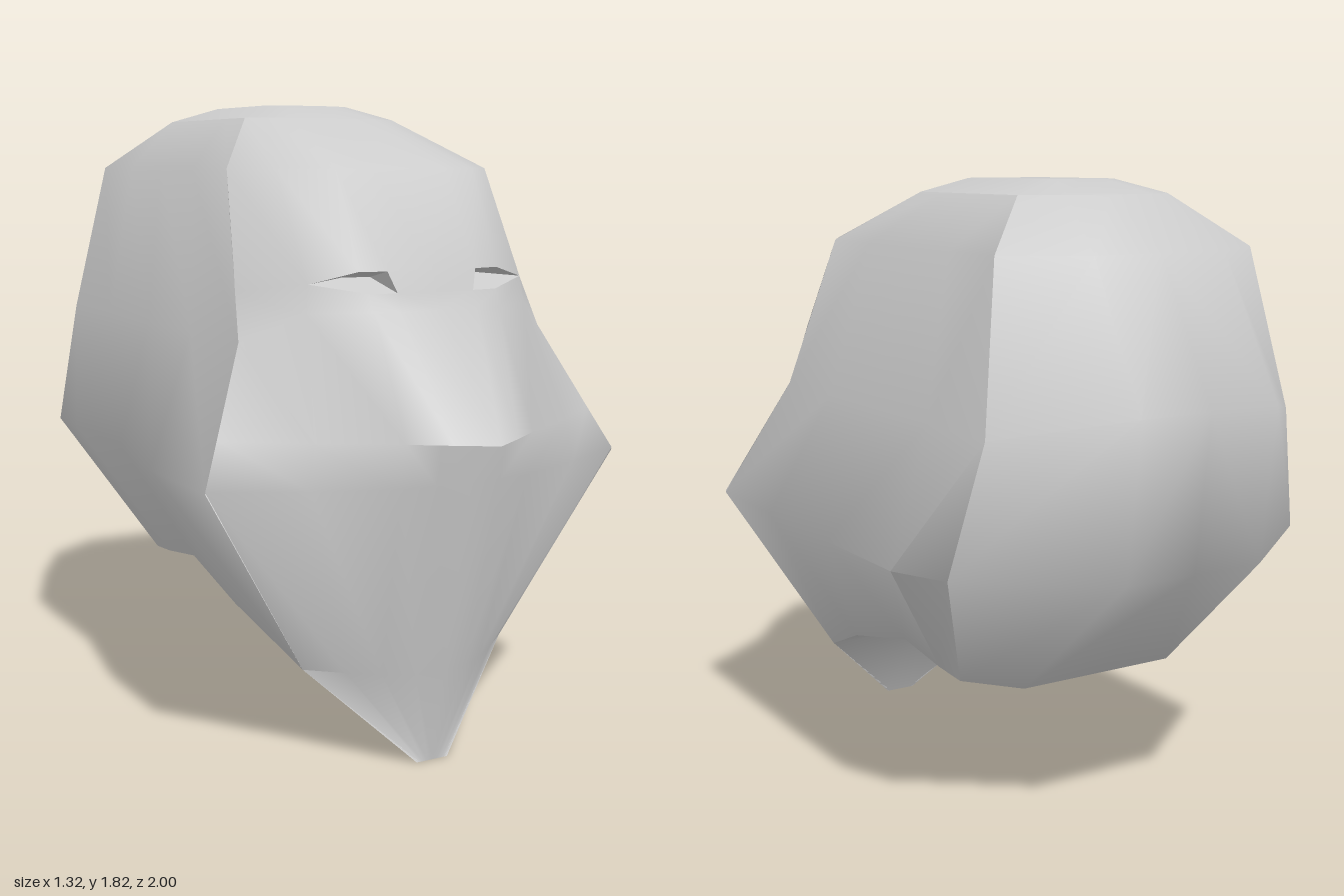
import * as THREE from 'three';
import { toCreasedNormals } from 'three/addons/utils/BufferGeometryUtils.js';

const material = new THREE.MeshStandardMaterial({ color: 0xcccccc, side: THREE.DoubleSide });

// Skins a grid of points on the +x half and its counterpart on the -x half.
// rowsOf(side) returns rows of [x, y, z]; skip(row, col) leaves openings.
function skin(name, rowsOf, skip = () => false) {
  const pos = [];
  const A = new THREE.Vector3(), B = new THREE.Vector3(), C = new THREE.Vector3();
  const tri = (s, a, b, c) => {
    A.set(...a); B.set(...b); C.set(...c);
    if (B.sub(A).cross(C.sub(A)).length() < 1e-6) return;
    const order = s > 0 ? [a, b, c] : [a, c, b];
    order.forEach(([x, y, z]) => pos.push(s * x, y, z));
  };
  for (const s of [1, -1]) {
    const rows = rowsOf(s);
    for (let i = 0; i < rows.length - 1; i++) {
      for (let j = 0; j < rows[i].length - 1; j++) {
        if (skip(i, j)) continue;
        const a = rows[i][j], b = rows[i][j + 1];
        const c = rows[i + 1][j + 1], d = rows[i + 1][j];
        tri(s, a, b, c);
        tri(s, a, c, d);
      }
    }
  }
  const geo = new THREE.BufferGeometry();
  geo.setAttribute('position', new THREE.Float32BufferAttribute(pos, 3));
  const mesh = new THREE.Mesh(toCreasedNormals(geo, 1.15), material);
  mesh.name = name;
  return mesh;
}

// Row of points sharing one height, from [x, z] pairs
const level = (y, ...xz) => xz.map(([x, z]) => [x, y, z]);

// Evenly spaced points between two corners
const between = (a, b, n) => Array.from({ length: n + 1 }, (_, i) =>
  a.map((v, k) => v + (b[k] - v) * i / n));

export function createModel() {
  const group = new THREE.Group();

  // Eye opening: lower and upper lids meet at the outer corner
  const corner = [0.34, 1.335, 0.6];
  const lowerLid = [[0.12, 1.31, 0.69], [0.2, 1.31, 0.68], corner];
  const upperLid = [[0.14, 1.367, 0.67], [0.22, 1.367, 0.655], corner];

  // Face plate, chin to brow, centre line to side crease
  const face = [
    level(0, [0, 0.7], [0.015, 0.7], [0.03, 0.7], [0.04, 0.7], [0.05, 0.7]),
    level(0.27, [0, 0.755], [0.08, 0.735], [0.16, 0.69], [0.24, 0.63], [0.33, 0.55]),
    level(0.82, [0, 0.87], [0.1, 0.86], [0.2, 0.845], [0.42, 0.76], [0.66, 0.64]),
    level(0.94, [0, 0.89], [0.1, 0.88], [0.2, 0.865], [0.4, 0.745], [0.603, 0.59]),
    // beak overhang
    level(0.94, [0, 1], [0.1, 0.935], [0.2, 0.865], [0.4, 0.745], [0.603, 0.59]),
    [...level(1.26, [0, 0.71], [0.12, 0.71], [0.2, 0.7], [0.35, 0.61]), [0.49, 1.18, 0.49]],
    [[0, 1.31, 0.69], ...lowerLid, [0.47, 1.31, 0.43]],
    [[0, 1.367, 0.67], ...upperLid, [0.461, 1.37, 0.405]],
    level(1.635, [0, 0.55], [0.12, 0.55], [0.22, 0.53], [0.34, 0.42], [0.42, 0.28]),
    level(1.78, [0, 0.12], [0.07, 0.12], [0.14, 0.12], [0.195, 0.085], [0.25, 0.05]),
  ];
  group.add(skin('facePlate', () => face, (i, j) => i === 6 && (j === 1 || j === 2)));

  // Eye recess: floor slopes back from the lower lid, ceiling returns to the upper lid
  const deep = upperLid.map(([x, y, z], i) => i === 2 ? corner : [x, y - 0.02, z - 0.09]);
  group.add(skin('eyeRecess', () => [lowerLid, deep, upperLid]));

  // Lower rim, front to rear
  const rim = [[0.33, 0.27, 0.55], [0.39, 0.39, 0.25], [0.38, 0.46, -0.06],
    [0.375, 0.43, -0.26], [0.37, 0.42, -0.37]];

  // Side panels with the wide cheek ridge; the two ridges differ slightly
  group.add(skin('sidePanel', (s) => {
    const ridgeX = s > 0 ? [0.66, 0.66, 0.66, 0.655, 0.58] : [0.66, 0.66, 0.59, 0.59, 0.585];
    const ridgeZ = [0.64, 0.28, -0.12, -0.5, -0.67];
    return [
      rim,
      ridgeX.map((x, i) => [x, 0.815, ridgeZ[i]]),
      between([0.49, 1.18, 0.49], [0.5, 1.18, -0.725], 4),
      between([0.42, 1.635, 0.28], [0.42, 1.635, -0.64], 4),
      between([0.25, 1.78, 0.05], [0.25, 1.78, -0.48], 4),
    ];
  }));

  // Rounded back, side crease to centre line
  group.add(skin('backShell', (s) => [
    level(0.42, [0.37, -0.37], [0.25, -0.52], [0, -0.52]),
    level(0.815, [s > 0 ? 0.58 : 0.585, -0.67], [0.22, -0.95], [0, -0.95]),
    [[0.5, 1.18, -0.725], [0.22, 1.25, -1], [0, 1.25, -1]],
    level(1.635, [0.42, -0.64], [0.21, -0.78], [0, -0.78]),
    level(1.78, [0.25, -0.48], [0.14, -0.55], [0, -0.55]),
  ]));

  // Crown: bevelled octagon rising to a flat top
  group.add(skin('crown', () => [
    level(1.78, [0, 0.12], [0.14, 0.12], [0.25, 0.05], [0.25, -0.48], [0.14, -0.55], [0, -0.55]),
    level(1.82, [0, 0], [0.08, 0], [0.14, -0.04], [0.14, -0.37], [0.08, -0.41], [0, -0.41]),
    level(1.82, [0, 0], [0, 0], [0, -0.04], [0, -0.37], [0, -0.41], [0, -0.41]),
  ]));

  // Underside between the rims, rear to chin
  const edge = [[0.25, 0.42, -0.52], ...[...rim].reverse(), [0.05, 0, 0.7]];
  group.add(skin('underside', () => edge.map((p) => [[0, p[1], p[2]], p])));

  return group;
}
